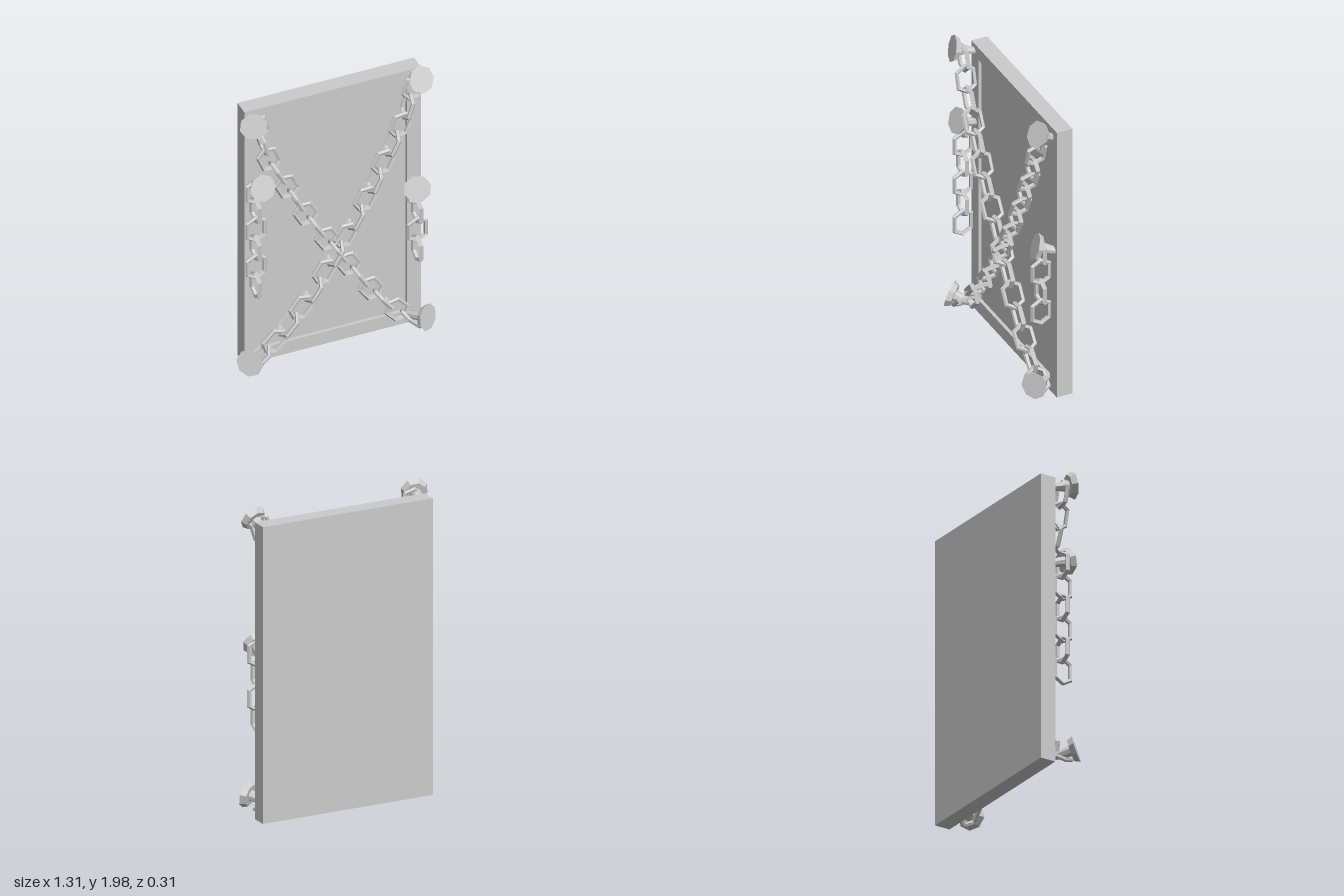
import * as THREE from 'three';

const material = new THREE.MeshStandardMaterial({ color: 0xcccccc, flatShading: true });
const UP = new THREE.Vector3(0, 1, 0);
const CHAIN_Z = 0.033;

function add(parent, name, geometry) {
  const mesh = new THREE.Mesh(geometry, material);
  mesh.name = name;
  parent.add(mesh);
  return mesh;
}

function rectangle(PathType, x0, y0, x1, y1) {
  return new PathType([[x0, y0], [x1, y0], [x1, y1], [x0, y1]].map(p => new THREE.Vector2(...p)));
}

// Thick slab with a raised rim around a shallow recessed panel
function createDoor() {
  const door = new THREE.Group();
  door.name = 'door';
  add(door, 'doorPanel', new THREE.BoxGeometry(1.176, 1.916, 0.084)).position.set(0.012, 0.966, -0.111);
  const rim = rectangle(THREE.Shape, -0.576, 0.008, 0.6, 1.924);
  rim.holes.push(rectangle(THREE.Path, -0.48, 0.1, 0.505, 1.835));
  add(door, 'doorRim', new THREE.ExtrudeGeometry(rim, { depth: 0.022, bevelEnabled: false })).position.z = -0.069;
  return door;
}

// Stretched hexagonal ring, long axis along y
function createLinkGeometry() {
  const geometry = new THREE.TorusGeometry(0.066, 0.015, 5, 6).rotateZ(Math.PI / 6);
  const position = geometry.attributes.position;
  for (let i = 0; i < position.count; i++) {
    const y = position.getY(i);
    position.setY(i, y + Math.sign(y) * 0.017);
  }
  return geometry;
}

// Links follow the points; every second one is turned a quarter about the chain
function createChain(name, points, count, linkGeometry) {
  const chain = new THREE.Group();
  chain.name = name;
  const curve = new THREE.CatmullRomCurve3(points.map(([x, y]) => new THREE.Vector3(x, y, CHAIN_Z)));
  for (let i = 0; i < count; i++) {
    const t = i / (count - 1);
    const link = add(chain, 'chainLink', linkGeometry);
    link.position.copy(curve.getPointAt(t));
    link.quaternion.setFromUnitVectors(UP, curve.getTangentAt(t).negate());
    if (i % 2) link.rotateY(Math.PI / 2);
  }
  return chain;
}

// Tilted nail: eight-sided flared head on a tapering shank
function createNail([x, y, z], axis) {
  const nail = new THREE.Group();
  nail.name = 'nail';
  add(nail, 'nailHead', new THREE.CylinderGeometry(0.088, 0.07, 0.035, 8)).position.y = -0.0175;
  add(nail, 'nailShank', new THREE.CylinderGeometry(0.036, 0.02, 0.13, 8)).position.y = -0.098;
  nail.position.set(x, y, z);
  nail.quaternion.setFromUnitVectors(UP, new THREE.Vector3(...axis).normalize());
  return nail;
}

export function createModel() {
  const model = new THREE.Group();
  model.name = 'chainedDoor';
  model.add(createDoor());

  const link = createLinkGeometry();
  const crossing = [
    ['crossChainFalling', [[-0.525, 1.85], [-0.455, 1.605], [-0.33, 1.35], [-0.205, 1.105], [-0.06, 0.87],
      [0.085, 0.635], [0.235, 0.405], [0.4, 0.2], [0.5, 0.1]]],
    ['crossChainRising', [[0.515, 1.85], [0.435, 1.605], [0.32, 1.355], [0.2, 1.105], [0.07, 0.87],
      [-0.07, 0.635], [-0.225, 0.405], [-0.405, 0.195], [-0.51, 0.1]]],
  ];
  for (const [name, points] of crossing) model.add(createChain(name, points, 16, link));

  // Loose chains hanging straight down at the sides
  model.add(createChain('hangingChainRight', [[-0.535, 1.365], [-0.535, 0.655]], 6, link));
  model.add(createChain('hangingChainLeft', [[0.54, 1.05], [0.54, 0.62]], 4, link));

  const nails = [
    [[-0.573, 1.905, 0.085], [-0.25, 0.25, 1]],
    [[0.555, 1.917, 0.065], [0.2, 0.55, 1]],
    [[-0.51, 1.418, 0.085], [0.1, 0.4, 1]],
    [[0.528, 1.093, 0.065], [-0.3, 0.35, 1]],
    [[-0.6, 0.118, 0.09], [-0.85, 0.35, 0.85]],
    [[0.582, 0.125, 0.1], [0.6, 0.2, 0.9]],
  ];
  for (const [position, axis] of nails) model.add(createNail(position, axis));
  return model;
}
